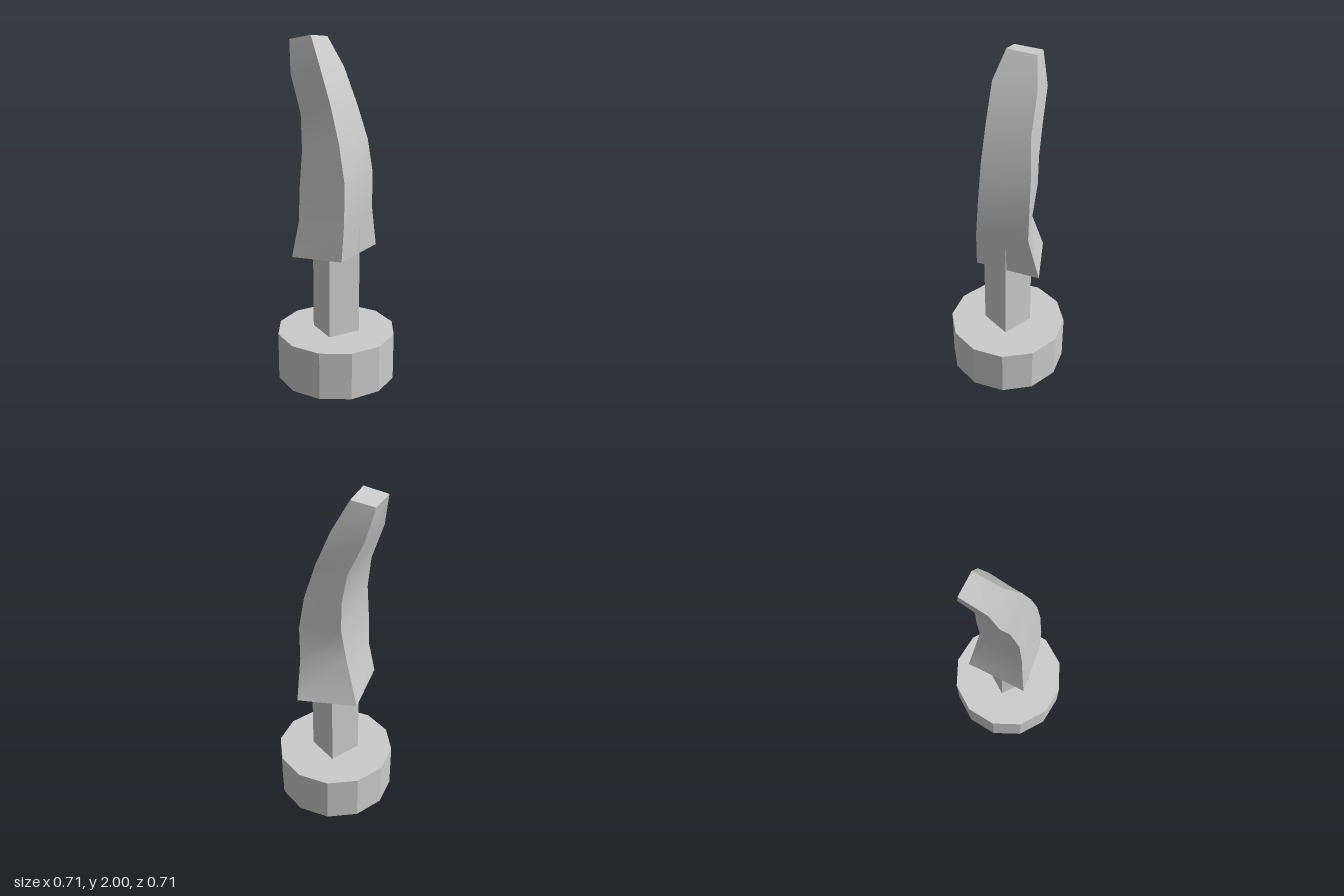
import * as THREE from 'three';

// Four long edges of the blade, each running bottom to top as [x, y, z]
const EDGES = [
  // front, -x side
  [[-0.217, 0.77, 0.16], [-0.18, 0.98, 0.138], [-0.175, 1.18, 0.13], [-0.165, 1.38, 0.11],
    [-0.185, 1.58, 0.065], [-0.25, 1.79, 0.035], [-0.27, 1.975, -0.01]],
  // front, +x side
  [[0.08, 0.77, 0.174], [0.093, 0.98, 0.172], [0.092, 1.21, 0.156], [0.055, 1.43, 0.14],
    [0.0, 1.64, 0.116], [-0.07, 1.85, 0.088], [-0.137, 2.0, 0.02]],
  // back, +x side
  [[0.194, 0.77, -0.196], [0.182, 1.02, -0.13], [0.182, 1.23, -0.134], [0.15, 1.42, -0.137],
    [0.087, 1.62, -0.13], [0.005, 1.82, -0.152], [-0.09, 1.988, -0.143]],
  // back, -x side
  [[-0.15, 0.77, -0.202], [-0.08, 1.03, -0.13], [-0.053, 1.25, -0.165], [-0.055, 1.42, -0.167],
    [-0.085, 1.6, -0.18], [-0.17, 1.79, -0.198], [-0.22, 1.968, -0.168]],
];

// Surface between two edges: smooth along its length, sharp at its borders
function strip(a, b) {
  const positions = [], index = [];
  a.forEach((p, i) => {
    positions.push(...p, ...b[i]);
    if (i > 0) {
      const k = 2 * (i - 1);
      index.push(k, k + 1, k + 3, k, k + 3, k + 2);
    }
  });
  const geometry = new THREE.BufferGeometry();
  geometry.setAttribute('position', new THREE.Float32BufferAttribute(positions, 3));
  geometry.setIndex(index);
  geometry.computeVertexNormals();
  return geometry;
}

export function createModel() {
  const model = new THREE.Group();
  const flat = new THREE.MeshStandardMaterial({ color: 0xcccccc, flatShading: true });
  const smooth = new THREE.MeshStandardMaterial({ color: 0xcccccc });

  const add = (parent, name, geometry, material, y = 0) => {
    const mesh = new THREE.Mesh(geometry, material);
    mesh.name = name;
    mesh.position.y = y;
    parent.add(mesh);
  };

  // Twelve-sided pommel and square grip
  add(model, 'pommel', new THREE.CylinderGeometry(0.353, 0.353, 0.285, 12), flat, 0.1425);
  add(model, 'grip', new THREE.CylinderGeometry(0.141, 0.141, 0.65, 4), flat, 0.605);

  // Curved, tapering blade: four sides and two end caps
  const blade = new THREE.Group();
  blade.name = 'blade';
  ['bladeFront', 'bladeLeft', 'bladeBack', 'bladeRight'].forEach((name, i) => {
    add(blade, name, strip(EDGES[i], EDGES[(i + 1) % 4]), smooth);
  });
  const [a, b, c, d] = EDGES;
  const last = a.length - 1;
  add(blade, 'bladeTip', strip([a[last], d[last]], [b[last], c[last]]), flat);
  add(blade, 'bladeBottom', strip([d[0], a[0]], [c[0], b[0]]), flat);
  model.add(blade);

  return model;
}
